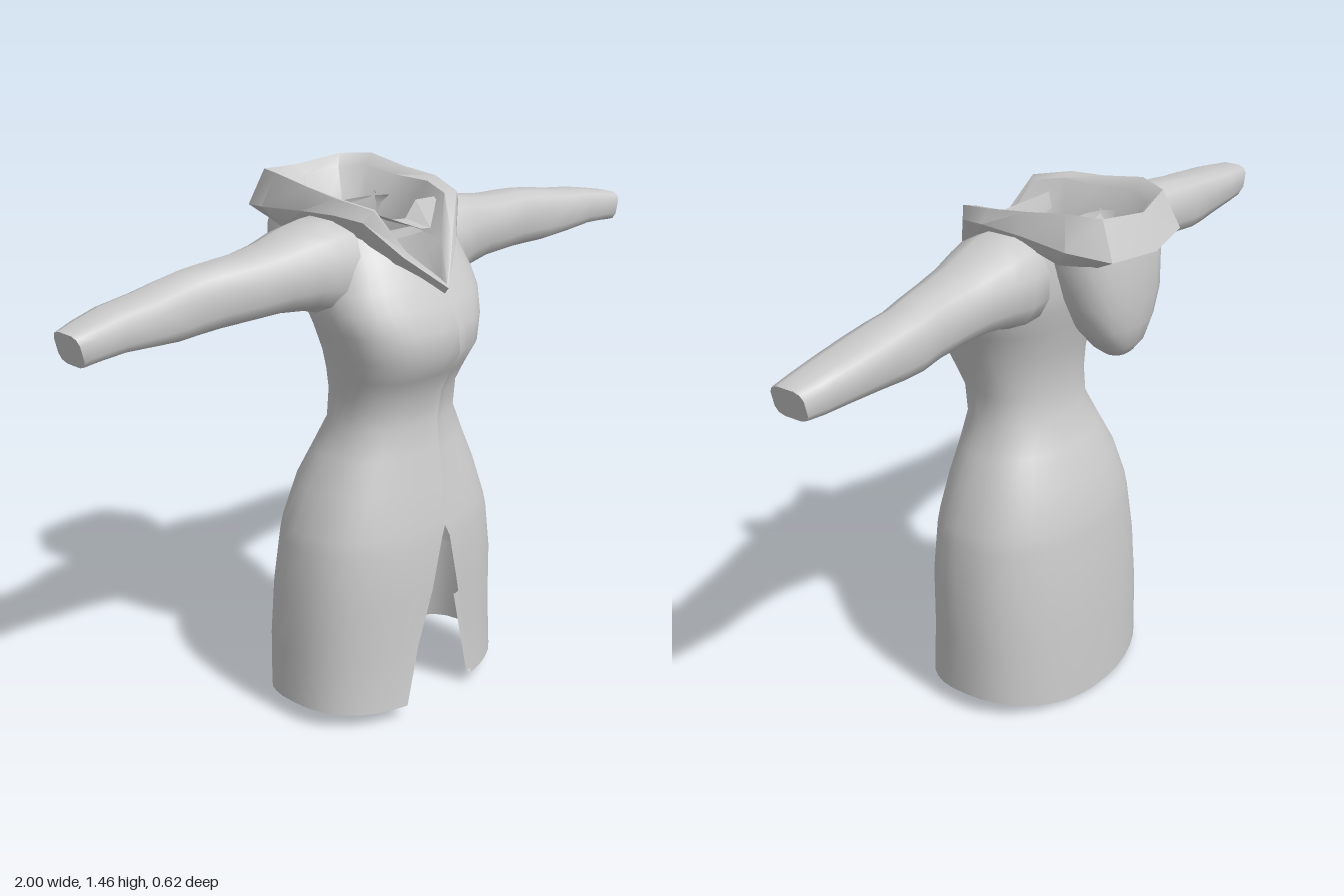
import * as THREE from 'three';
import { toCreasedNormals } from 'three/addons/utils/BufferGeometryUtils.js';

const cloth = new THREE.MeshStandardMaterial({ color: 0xcccccc, side: THREE.DoubleSide });
cloth.name = 'light grey cloth';

// Skin a list of equally long point rows; closed rows wrap round.
function loft(name, rows, closed, crease = 0.9) {
  const n = rows[0].length, index = [];
  for (let r = 0; r < rows.length - 1; r++) {
    for (let i = 0; i < (closed ? n : n - 1); i++) {
      const a = r * n + i, b = r * n + (i + 1) % n;
      index.push(a, b, b + n, a, b + n, a + n);
    }
  }
  const geo = new THREE.BufferGeometry();
  geo.setAttribute('position', new THREE.Float32BufferAttribute(rows.flat(2), 3));
  geo.setIndex(index);
  const mesh = new THREE.Mesh(toCreasedNormals(geo, crease), cloth);
  mesh.name = name;
  return mesh;
}

const power = (v, n) => Math.sign(v) * Math.abs(v) ** (2 / n);

// Coat body sections: height, half width, front z, back z
const BODY = [
  [0.05, 0.35, 0.3, -0.17], [0.2, 0.348, 0.29, -0.167], [0.36, 0.34, 0.295, -0.16],
  [0.5, 0.32, 0.288, -0.147], [0.54, 0.31, 0.283, -0.142], [0.65, 0.27, 0.262, -0.115],
  [0.74, 0.225, 0.243, -0.075], [0.82, 0.188, 0.228, -0.04], [0.9, 0.186, 0.238, -0.035],
  [0.96, 0.2, 0.268, -0.038], [1.02, 0.215, 0.303, -0.05], [1.09, 0.235, 0.3, -0.068],
  [1.15, 0.255, 0.275, -0.085], [1.2, 0.25, 0.25, -0.095], [1.28, 0.225, 0.21, -0.1],
  [1.34, 0.2, 0.17, -0.095], [1.365, 0.17, 0.14, -0.085],
];

// Where each front edge lies at a height: slit below, seam, open neck above
function frontEdges(y) {
  if (y < 0.54) {
    const t = (0.54 - y) / 0.5;
    return [0.02 + 0.12 * t, 0.02 - 0.15 * t];
  }
  if (y > 1.2) return [0.03 + (y - 1.2) * 0.75, 0.03 - (y - 1.2) * 0.95];
  const x = 0.02 + 0.03 * Math.sin(Math.min(1, (y - 0.54) / 0.66) * 2.6);
  return [x - 0.008, x + 0.008];
}

// One row round the body, from the left front edge to the right front edge
function bodyRow([y, w, zf, zb], inset = 0) {
  const COLS = 36, row = [], zc = (zf + zb) / 2;
  const angle = (x) => Math.asin(Math.sign(x) * Math.abs(x / w) ** 1.25);
  const [left, right] = frontEdges(y);
  const start = angle(left), end = Math.PI * 2 + angle(right);
  for (let i = 0; i <= COLS; i++) {
    const t = start + (end - start) * i / COLS;
    const c = Math.cos(t), n = c > 0 ? 2.5 : 2.2;
    const x = (w - inset) * power(Math.sin(t), n);
    let z = zc + ((zf - zb) / 2 - inset) * power(c, n);
    if (i === 0 && y >= 0.5 && y < 1.2) z += 0.008;
    const dip = y < 0.06 ? (c > 0 ? 0.015 : 0.05) * c * c : 0;
    row.push([x, y - dip, z]);
  }
  return row;
}

// Sleeve sections: x, bottom y, top y, back z, front z
const SLEEVE = [
  [0.16, 1.13, 1.375, -0.09, 0.16], [0.23, 1.135, 1.37, -0.095, 0.165],
  [0.29, 1.155, 1.357, -0.088, 0.15], [0.37, 1.165, 1.337, -0.068, 0.13],
  [0.45, 1.165, 1.325, -0.058, 0.117], [0.55, 1.163, 1.318, -0.056, 0.098],
  [0.62, 1.158, 1.31, -0.06, 0.086], [0.68, 1.158, 1.302, -0.055, 0.09],
  [0.76, 1.165, 1.288, -0.05, 0.094], [0.86, 1.172, 1.275, -0.045, 0.09],
  [0.94, 1.17, 1.26, -0.03, 0.09], [1, 1.167, 1.248, -0.012, 0.088],
];

function sleeve(side) {
  const SIDES = 12;
  const rows = SLEEVE.map(([x, y0, y1, z0, z1], k) => {
    const n = 2.3 + k * 0.12;
    return Array.from({ length: SIDES }, (_, i) => {
      const t = (i + 0.5) / SIDES * Math.PI * 2;
      const y = (y0 + y1) / 2 + (y1 - y0) / 2 * power(Math.sin(t), n) * 1.02;
      // the cuff slants slightly inward at the bottom
      const slant = k === SLEEVE.length - 1 ? (y1 - y) * 0.25 : 0;
      return [side * (x - slant), y, (z0 + z1) / 2 + (z1 - z0) / 2 * power(Math.cos(t), n) * 1.02];
    });
  });
  // flat end cap
  rows.push(rows[rows.length - 1].map(() => [side * 0.99, 1.207, 0.038]));
  return loft(side > 0 ? 'leftSleeve' : 'rightSleeve', rows, true);
}

// Hood collar rings, half of each from the front point round to the back
const OUTER_BASE = [[0.03, 1.17, 0.26], [0.1, 1.26, 0.2], [0.16, 1.33, 0.15], [0.18, 1.35, 0.08],
  [0.18, 1.35, -0.03], [0.18, 1.32, -0.13], [0.14, 1.32, -0.22], [0, 1.32, -0.25]];
const BULGE = [[0.03, 1.19, 0.275], [0.1, 1.29, 0.235], [0.178, 1.38, 0.17], [0.202, 1.39, 0.09],
  [0.197, 1.38, -0.03], [0.21, 1.37, -0.17], [0.16, 1.35, -0.278], [0, 1.34, -0.306]];
const CREST = [[0.03, 1.2, 0.27], [0.085, 1.3, 0.235], [0.155, 1.41, 0.185], [0.187, 1.43, 0.08],
  [0.178, 1.44, -0.03], [0.178, 1.458, -0.15], [0.14, 1.45, -0.235], [0, 1.435, -0.265]];
const INNER = [[0.03, 1.2, 0.25], [0.07, 1.3, 0.21], [0.13, 1.405, 0.165], [0.155, 1.42, 0.08],
  [0.15, 1.42, -0.03], [0.145, 1.43, -0.14], [0.11, 1.42, -0.21], [0, 1.41, -0.23]];
const FLOOR = [[0.03, 1.19, 0.22], [0.06, 1.26, 0.17], [0.1, 1.3, 0.12], [0.12, 1.3, 0.06],
  [0.12, 1.27, -0.03], [0.11, 1.25, -0.1], [0.08, 1.24, -0.15], [0, 1.24, -0.18]];
const mirrorRing = (half) =>
  [...half, ...half.slice(1, -1).reverse().map(([x, y, z]) => [-x, y, z])];

// Hanging hood bag sections: height, half width, back z, front z
const BAG = [
  [1.37, 0.15, -0.265, -0.04], [1.3, 0.165, -0.272, -0.05], [1.2, 0.155, -0.272, -0.08],
  [1.13, 0.125, -0.265, -0.1], [1.075, 0.085, -0.252, -0.14], [1.045, 0.045, -0.23, -0.165],
  [1.03, 0.001, -0.2, -0.198],
];

export function createModel() {
  const coat = new THREE.Group();
  coat.name = 'hoodedCoat';

  // Body shell, with the hem turned up inside
  const hem = [bodyRow([0.3, 0.343, 0.29, -0.163], 0.014), bodyRow(BODY[0], 0.014)];
  coat.add(loft('coatBody', [...hem, ...BODY.map((s) => bodyRow(s))], false));

  for (const side of [1, -1]) coat.add(sleeve(side));

  // Rolled collar and the inside of the hood
  const rings = [OUTER_BASE, BULGE, CREST, INNER, FLOOR].map(mirrorRing);
  rings.push(rings[0].map(() => [0, 1.25, 0]));
  coat.add(loft('hoodCollar', rings, true, 0.8));

  // Hood bag hanging on the back
  const bag = BAG.map(([y, w, z0, z1]) => Array.from({ length: 16 }, (_, i) => {
    const t = i / 16 * Math.PI * 2;
    return [w * power(Math.sin(t), 2.4), y, (z0 + z1) / 2 + (z1 - z0) / 2 * power(Math.cos(t), 2.4)];
  }));
  coat.add(loft('hoodBag', bag, true));

  // Folded inner neck flap
  const flap = [
    [[-0.11, 1.39, 0.1], [0, 1.34, 0.2], [0.05, 1.33, 0.19], [0.14, 1.39, 0.13]],
    [[-0.05, 1.37, 0.05], [0, 1.34, 0.08], [0.05, 1.34, 0.1], [0.1, 1.38, 0.09]],
  ];
  coat.add(loft('neckFlap', flap, false, 0.2));

  return coat;
}
